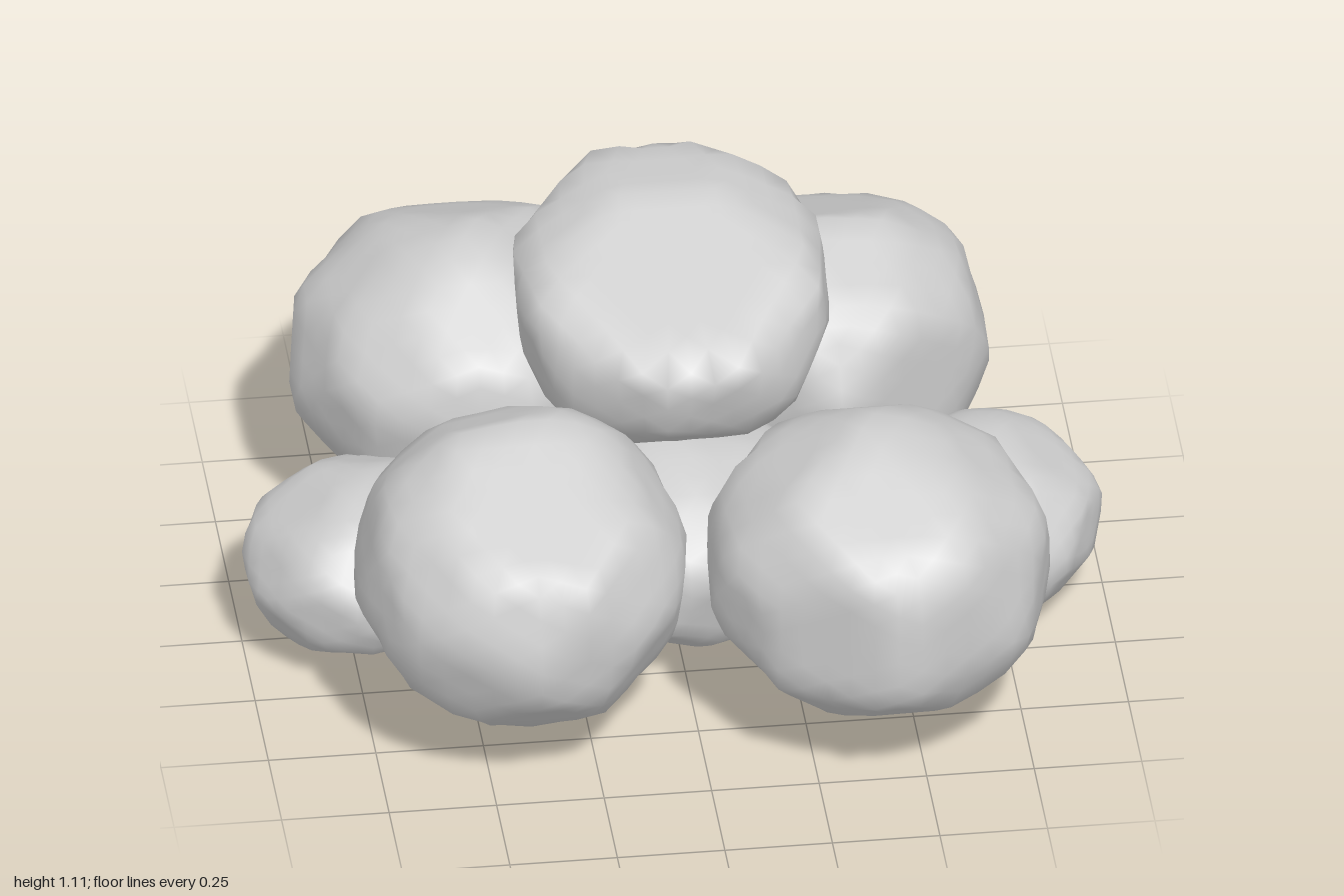
import * as THREE from 'three';
import { mergeVertices } from 'three/addons/utils/BufferGeometryUtils.js';

const material = new THREE.MeshStandardMaterial({ color: 0xcccccc });

// small seeded random generator
function seeded(seed) {
  let s = seed * 7919 + 13;
  return () => (s = (s * 16807) % 2147483647) / 2147483647;
}

// A chipped boulder: a sphere cut by scattered planes plus the given large cuts
// [nx, ny, nz, distance], then fitted to the box from lo to hi.
function boulder(name, seed, lo, hi, cuts) {
  const random = seeded(seed);
  for (let i = 0; i < 10; i++) random();
  const planes = cuts.map(([x, y, z, d]) => ({ n: new THREE.Vector3(x, y, z).normalize(), d }));
  const count = 32;
  for (let i = 0; i < count; i++) {
    const y = 1 - (2 * i + 1) / count, r = Math.sqrt(1 - y * y), a = i * 2.39996 + seed;
    const jitter = () => (random() - 0.5) * 0.3;
    const n = new THREE.Vector3(r * Math.cos(a) + jitter(), y + jitter(), r * Math.sin(a) + jitter());
    planes.push({ n: n.normalize(), d: 0.95 + random() * 0.04 });
  }

  let geometry = new THREE.IcosahedronGeometry(1, 6);
  geometry.deleteAttribute('uv');
  geometry.deleteAttribute('normal');
  geometry = mergeVertices(geometry, 1e-4);
  const p = geometry.attributes.position, v = new THREE.Vector3();
  for (let i = 0; i < p.count; i++) {
    v.fromBufferAttribute(p, i).normalize();
    let radius = 1.04;
    for (const { n, d } of planes) {
      const c = v.dot(n);
      if (c > 0.3) radius = Math.min(radius, d / c);
    }
    v.multiplyScalar(radius);
    p.setXYZ(i, v.x, v.y, v.z);
  }

  // fit to the box
  geometry.computeBoundingBox();
  const { min, max } = geometry.boundingBox;
  const a = new THREE.Vector3(...lo), size = new THREE.Vector3(...hi).sub(a);
  const scale = size.clone().divide(max.clone().sub(min));
  geometry.translate(-min.x, -min.y, -min.z);
  geometry.scale(scale.x, scale.y, scale.z);
  geometry.translate(a.x, a.y, a.z);
  geometry.computeVertexNormals();

  const mesh = new THREE.Mesh(geometry, material);
  mesh.name = name;
  return mesh;
}

// copy turned half way round the middle of the pile
function opposite(mesh, name, x, y, z) {
  const copy = mesh.clone();
  copy.name = name;
  copy.rotation.y = Math.PI;
  copy.position.set(x, y, z);
  return copy;
}

export function createModel() {
  const group = new THREE.Group();
  group.name = 'rockPile';

  // broad boulder with a heavy outer foot and a point facing outwards
  const frontLeft = boulder('frontLeftBoulder', 1, [0.02, 0.11, 0.09], [0.82, 0.82, 0.905], [
    [0, 0.86, 0.52, 0.9], [0, 0.79, -0.61, 0.95], [0, -0.97, 0.25, 0.94], [0, -0.63, -0.78, 0.86],
    [-0.66, -0.75, 0, 0.88], [0.64, 0.77, 0, 0.94], [-0.43, 0, 0.9, 0.89], [0.38, 0, 0.92, 0.94]
  ]);
  // boulder with a sloping flat crown, undercut on the inside
  const frontRight = boulder('frontRightBoulder', 2, [-0.79, 0.1, 0.03], [-0.02, 0.82, 0.845], [
    [0, 0.88, 0.47, 0.81], [0, -0.68, -0.735, 0.78],
    [-0.45, -0.89, 0, 0.88], [0.5, -0.86, 0, 0.92], [-0.54, 0, -0.84, 0.88], [0.5, 0, -0.86, 0.92]
  ]);
  group.add(
    frontLeft, opposite(frontLeft, 'backRightBoulder', -0.01, -0.03, -0.01),
    frontRight, opposite(frontRight, 'backLeftBoulder', 0, -0.01, -0.015)
  );

  // capstone with a flat crown sloping to the front and a tapering underside
  group.add(boulder('topBoulder', 5, [-0.37, 0.51, -0.4], [0.37, 1.12, 0.39], [
    [0, 0.91, 0.41, 0.48], [0, 0.995, -0.1, 0.64], [0.39, 0.92, 0, 0.7], [-0.39, 0.92, 0, 0.7],
    [0.6, -0.8, 0, 0.88], [-0.6, -0.8, 0, 0.88], [0, -0.8, 0.6, 0.88], [0, -0.8, -0.6, 0.88]
  ]));

  // supporting stones on the ground
  const leftStone = boulder('leftStone', 7, [0.46, 0.01, -0.29], [1, 0.44, 0.29], [
    [0, -0.85, 0.5, 0.91], [0, -0.85, -0.5, 0.91], [0.6, 0.8, 0, 0.92]
  ]);
  group.add(
    boulder('centreStone', 6, [-0.34, 0.01, -0.37], [0.34, 0.53, 0.37],
      [[0.5, -0.865, 0, 0.88], [-0.5, -0.865, 0, 0.88]]),
    leftStone, opposite(leftStone, 'rightStone', 0, 0, 0)
  );
  return group;
}
